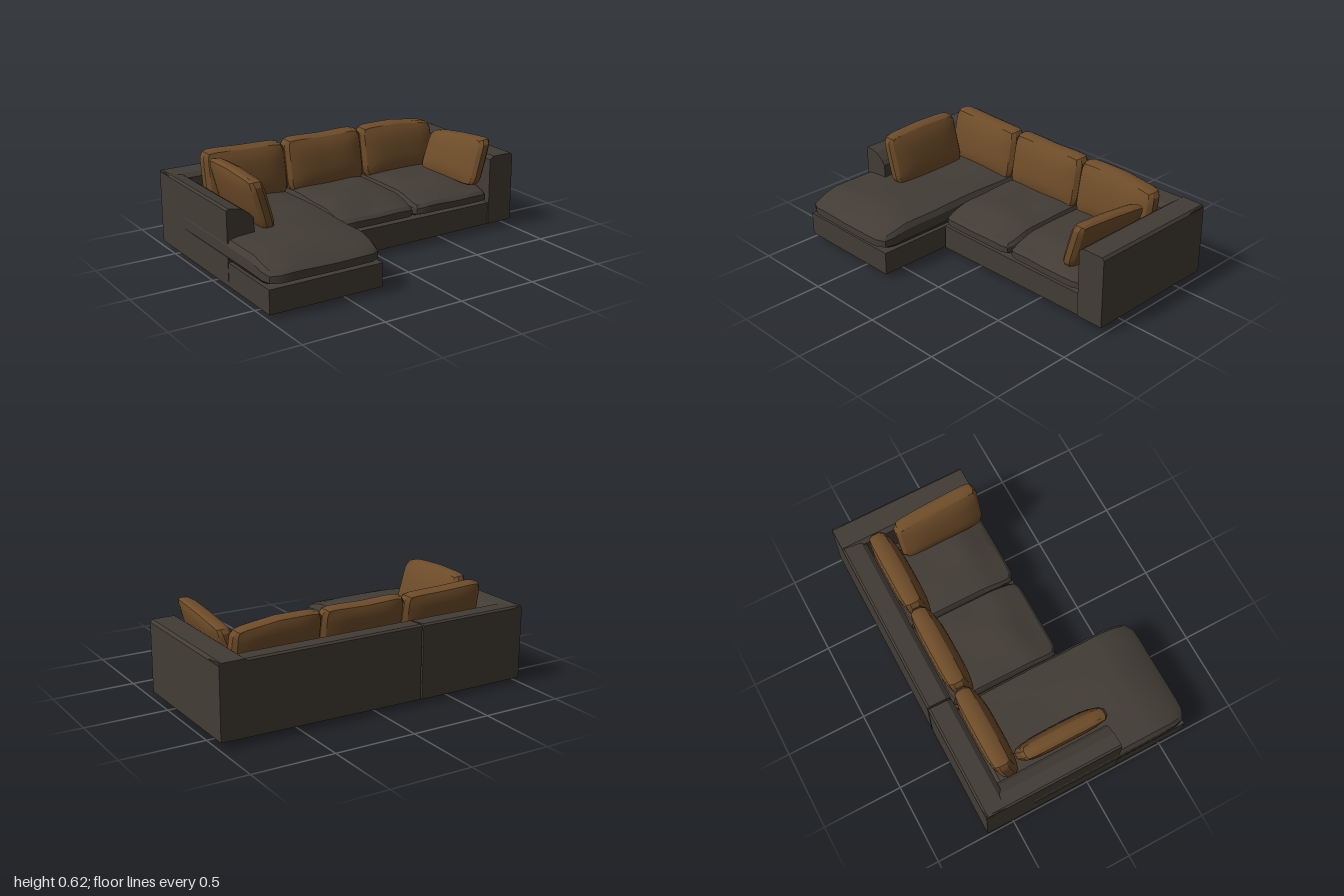
import * as THREE from 'three';
import { toCreasedNormals } from 'three/addons/utils/BufferGeometryUtils.js';

const darkFabric = new THREE.MeshStandardMaterial({ color: 0x423c35 });
const brownFabric = new THREE.MeshStandardMaterial({ color: 0x6e4c29 });
const footColor = new THREE.MeshStandardMaterial({ color: 0x38332d });
darkFabric.name = 'dark fabric';
brownFabric.name = 'brown fabric';
footColor.name = 'foot';

function mesh(name, geometry, material, x = 0, y = 0, z = 0) {
  const m = new THREE.Mesh(geometry, material);
  m.name = name;
  m.position.set(x, y, z);
  return m;
}

// Box spanning two corners; the underside rises by lift toward +x
function block(name, [x0, y0, z0], [x1, y1, z1], lift = 0) {
  const g = new THREE.BoxGeometry(x1 - x0, y1 - y0, z1 - z0);
  g.translate((x0 + x1) / 2, (y0 + y1) / 2, (z0 + z1) / 2);
  const p = g.attributes.position;
  for (let i = 0; i < p.count; i++) {
    if (p.getX(i) > x0 + 0.01 && p.getY(i) < y1 - 0.01) p.setY(i, y0 + lift);
  }
  g.computeVertexNormals();
  return mesh(name, g, darkFabric);
}

// Rounded unit block, each vertex placed by a rule
function soft(power, segments, rule) {
  const g = new THREE.BoxGeometry(2, 2, 2, ...segments);
  const p = g.attributes.position;
  const v = new THREE.Vector3();
  for (let i = 0; i < p.count; i++) {
    v.fromBufferAttribute(p, i);
    const a = [v.x, v.y, v.z].map(Math.abs);
    const norm = Math.pow(a.reduce((s, c) => s + Math.pow(c, power), 0), 1 / power);
    v.multiplyScalar(Math.max(...a) / norm);
    rule(v);
    p.setXYZ(i, v.x, v.y, v.z);
  }
  return toCreasedNormals(g, 0.5);
}

// Upright cushion, leaning backward, with a top edge running through three heights
function pillow(name, width, depth, lean, bottom, tops) {
  const g = soft(9, [10, 8, 4], (v) => {
    const u = v.x, t = (v.y + 1) / 2;
    const top = u < 0
      ? THREE.MathUtils.lerp(tops[1], tops[0], -u)
      : THREE.MathUtils.lerp(tops[1], tops[2], u);
    const belly = 0.62 + 0.38 * (1 - u ** 4) * (1 - Math.abs(v.y) ** 3);
    v.x = u * width / 2;
    v.y = bottom + t * (top - bottom);
    v.z = v.z * depth / 2 * belly - lean * (t - 0.5);
  });
  return mesh(name, g, brownFabric);
}

// Seat cushion with a soft crown, a drooping front edge and slight creasing
function seat(name, [x0, x1], [z0, z1], y0, y1, droop, seed) {
  const g = soft(12, [10, 4, 14], (v) => {
    const { x, y, z } = v;
    v.x = (x0 + x1) / 2 + x * (x1 - x0) / 2;
    v.z = (z0 + z1) / 2 + z * (z1 - z0) / 2;
    const t = (y + 1) / 2;
    const front = THREE.MathUtils.smoothstep(v.z, z1 - 0.22, z1);
    const drop = droop * front + 0.018 * x ** 4
      + 0.005 * Math.sin(x * 4 + seed) * Math.cos(z * 5 + seed);
    v.y = y0 + t * (y1 - y0 - drop);
    // the lower edge tucks under at the front
    if (z > 0.9 && t < 0.2) v.z -= 0.025;
  });
  return mesh(name, g, darkFabric);
}

// Straight wall from a profile of [distance from outer face, height]
function wall(name, profile, side, length) {
  const shape = new THREE.Shape(profile.map(([a, y]) => new THREE.Vector2(a * side, y)));
  const g = new THREE.ExtrudeGeometry(shape, { depth: length, bevelEnabled: false });
  return mesh(name, g, darkFabric);
}

export function createModel() {
  const sofa = new THREE.Group();
  sofa.name = 'cornerSofa';

  // Bases of the two modules
  sofa.add(
    block('chaiseBase', [-0.995, 0.03, -0.67], [-0.285, 0.172, 0.657]),
    block('sofaBase', [-0.275, 0.032, -0.67], [0.99, 0.182, 0.192], 0.013),
  );

  // Back rests, one for each module
  const backProfile = [[0, 0.05], [0, 0.472], [0.012, 0.482], [0.12, 0.474], [0.15, 0.45], [0.175, 0.05]];
  for (const [name, x0, x1] of [['chaiseBack', -0.995, -0.285], ['sofaBack', -0.275, 0.995]]) {
    const back = wall(name, backProfile, -1, x1 - x0);
    back.rotation.y = Math.PI / 2;
    back.position.set(x0, 0, -0.67);
    sofa.add(back);
  }

  // Arms
  const leftProfile = [[0, 0.046], [0, 0.468], [0.014, 0.484], [0.15, 0.484], [0.176, 0.465], [0.176, 0.046]];
  const leftArm = wall('leftArm', leftProfile, -1, 0.872);
  leftArm.position.set(0.997, 0, -0.67);
  const rightProfile = [[0, 0.04], [0, 0.47], [0.012, 0.481], [0.09, 0.468], [0.145, 0.43], [0.168, 0.4], [0.168, 0.04]];
  const rightArm = wall('rightArm', rightProfile, 1, 0.868);
  rightArm.position.set(-0.997, 0, -0.67);
  sofa.add(leftArm, rightArm);

  // Seat cushions
  sofa.add(
    seat('chaiseSeat', [-1, -0.283], [-0.52, 0.672], 0.175, 0.322, 0.055, 1),
    seat('middleSeat', [-0.275, 0.266], [-0.52, 0.2], 0.184, 0.318, 0.05, 2),
    seat('leftSeat', [0.27, 0.82], [-0.52, 0.2], 0.184, 0.318, 0.05, 4),
  );

  // Back pillows
  const backs = [
    ['rightBackPillow', -0.552, 0.54, [0.625, 0.612, 0.608]],
    ['middleBackPillow', -0.005, 0.545, [0.617, 0.607, 0.615]],
    ['leftBackPillow', 0.545, 0.55, [0.612, 0.612, 0.578]],
  ];
  for (const [name, x, width, tops] of backs) {
    const p = pillow(name, width, 0.155, 0.06, 0.29, tops);
    p.position.set(x, 0, -0.435);
    sofa.add(p);
  }

  // Arm pillows
  const rightPillow = pillow('rightArmPillow', 0.545, 0.125, 0.085, 0.3, [0.605, 0.622, 0.618]);
  rightPillow.rotation.y = Math.PI / 2;
  rightPillow.position.set(-0.763, 0, -0.072);
  const leftPillow = pillow('leftArmPillow', 0.545, 0.125, 0.085, 0.305, [0.545, 0.58, 0.605]);
  leftPillow.rotation.y = -Math.PI / 2;
  leftPillow.position.set(0.757, 0, -0.072);
  sofa.add(rightPillow, leftPillow);

  // Feet
  const footGeometry = new THREE.CylinderGeometry(0.024, 0.021, 0.034, 10);
  const feet = [
    [-0.91, 0.55, 0], [-0.38, 0.55, 0], [-0.91, -0.56, 0], [-0.38, -0.56, 0],
    [-0.15, 0.09, 0.004], [0.9, 0.09, 0.014], [-0.15, -0.56, 0.004], [0.9, -0.56, 0.014],
  ];
  for (const [x, z, lift] of feet) {
    sofa.add(mesh('foot', footGeometry, footColor, x, 0.017 + lift, z));
  }
  return sofa;
}
